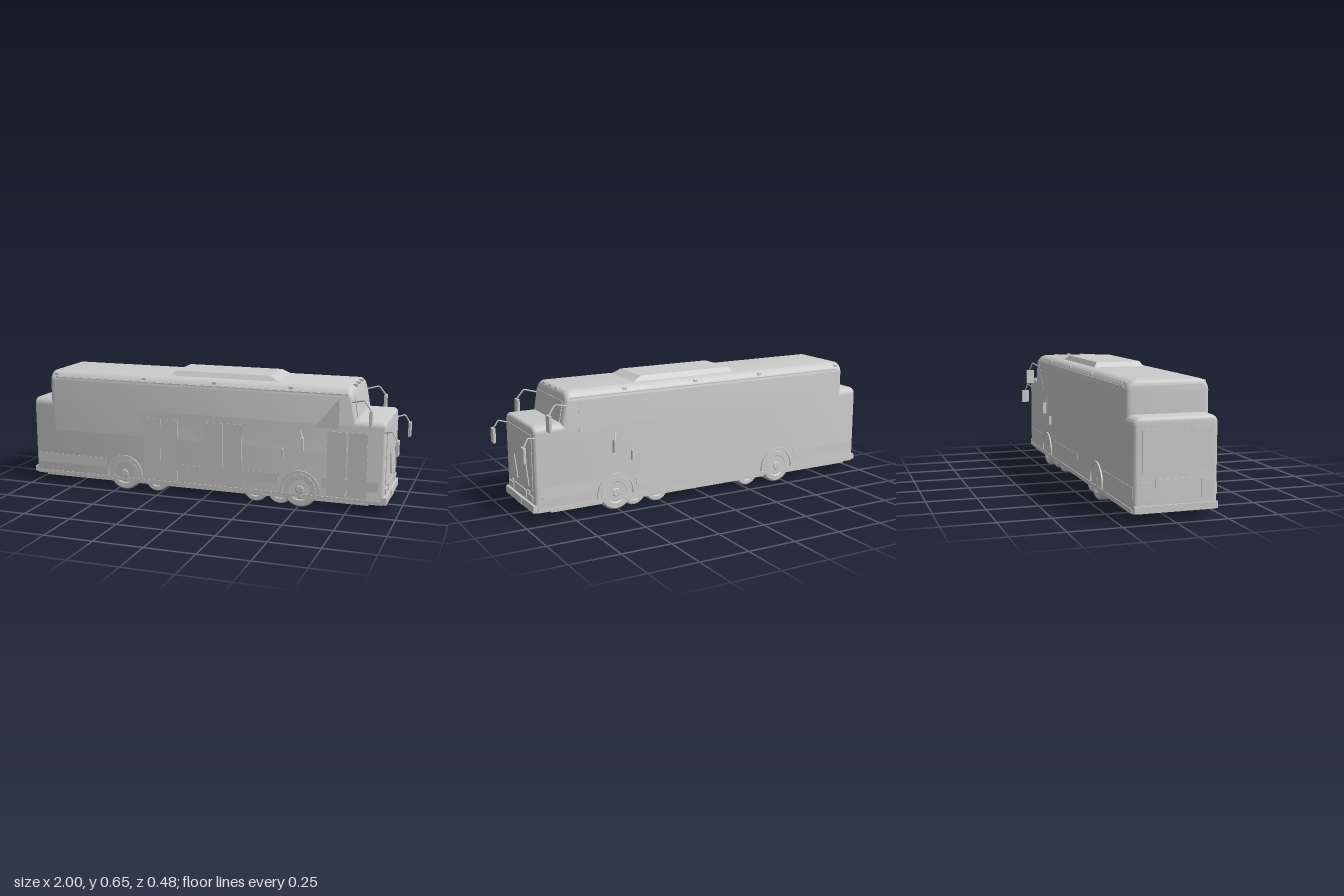
import * as THREE from 'three';
import { toCreasedNormals } from 'three/addons/utils/BufferGeometryUtils.js';

const mat = new THREE.MeshStandardMaterial({ color: 0xcccccc, side: THREE.DoubleSide });

export function createModel() {
  const root = new THREE.Group();

  const add = (name, geo) => {
    const m = new THREE.Mesh(geo, mat);
    m.name = name;
    root.add(m);
    return m;
  };
  // box given by its limits on each axis
  const box = (name, x0, x1, y0, y1, z0, z1) => {
    const m = add(name, new THREE.BoxGeometry(x1 - x0, y1 - y0, Math.abs(z1 - z0)));
    m.position.set((x0 + x1) / 2, (y0 + y1) / 2, (z0 + z1) / 2);
    return m;
  };
  const bar = (name, points, r) => {
    const path = new THREE.CurvePath();
    for (let i = 1; i < points.length; i++) {
      path.add(new THREE.LineCurve3(new THREE.Vector3(...points[i - 1]), new THREE.Vector3(...points[i])));
    }
    return add(name, new THREE.TubeGeometry(path, 16, r, 8));
  };

  // arched section swept along x: rounded top and ends, square bottom edge
  const hull = (name, x0, x1, y0, y1, halfWidth, r, bevel, rake = 0) => {
    const w = halfWidth - bevel, t = y1 - bevel, c = r - bevel;
    const s = new THREE.Shape();
    s.moveTo(-w, y0);
    s.lineTo(w, y0);
    s.lineTo(w, t - c);
    s.absarc(w - c, t - c, c, 0, Math.PI / 2);
    s.lineTo(-w + c, t);
    s.absarc(-w + c, t - c, c, Math.PI / 2, Math.PI);
    s.lineTo(-w, y0);
    let g = new THREE.ExtrudeGeometry(s, {
      depth: x1 - x0 - 2 * bevel, bevelSize: bevel, bevelThickness: bevel, bevelSegments: 5, curveSegments: 8,
    });
    g.rotateY(Math.PI / 2);
    g.translate(x0 + bevel, 0, 0);
    const p = g.attributes.position;
    for (let i = 0; i < p.count; i++) {
      p.setY(i, Math.max(p.getY(i), y0));
      if (p.getX(i) > 0) p.setX(i, p.getX(i) + rake * (y1 - p.getY(i)));
    }
    return add(name, toCreasedNormals(g, 0.6));
  };

  // Body
  hull('lowerBody', -0.99, 0.932, 0.05, 0.473, 0.199, 0.035, 0.02);
  hull('upperBody', -0.89, 0.757, 0.3, 0.625, 0.199, 0.055, 0.025, 0.18);
  box('underFloor', -0.93, 0.855, 0.04, 0.052, -0.19, 0.19);

  // Roof pod with sloping sides
  const pod = new THREE.BoxGeometry(0.595, 0.032, 0.274);
  const pp = pod.attributes.position;
  for (let i = 0; i < pp.count; i++) {
    if (pp.getY(i) > 0) {
      pp.setX(i, pp.getX(i) - Math.sign(pp.getX(i)) * (pp.getX(i) > 0 ? 0.06 : 0.02));
      pp.setZ(i, pp.getZ(i) * 0.84);
    }
  }
  pod.computeVertexNormals();
  add('roofPod', pod).position.set(0.088, 0.634, 0);
  for (const z of [-0.08, 0, 0.08]) box('roofLamp', 0.742, 0.765, 0.615, 0.628, z - 0.009, z + 0.009);

  // Front face
  const screen = box('upperWindscreen', -0.004, 0.004, -0.052, 0.052, -0.165, 0.165);
  screen.position.set(0.775, 0.525, 0);
  screen.rotation.z = Math.atan(0.18);
  box('lowerWindscreen', 0.925, 0.935, 0.155, 0.43, -0.17, 0.17);
  box('grille', 0.925, 0.938, 0.1, 0.138, -0.08, 0.08);
  box('frontBumper', 0.92, 0.945, 0.052, 0.089, -0.197, 0.197);
  box('numberPlate', 0.94, 0.948, 0.053, 0.09, -0.04, 0.04);
  for (const s of [-1, 1]) {
    box('headlight', 0.925, 0.938, 0.1, 0.128, s * 0.1, s * 0.168);
    box('indicator', 0.925, 0.938, 0.134, 0.144, s * 0.1, s * 0.128);
  }
  for (const z of [0.064, -0.094]) bar('wiper', [[0.939, 0.285, z], [0.939, 0.172, z - 0.04]], 0.003);

  // Rear face
  box('rearWindow', -0.993, -0.985, 0.23, 0.42, -0.16, 0.16);
  box('enginePanel', -0.994, -0.985, 0.1, 0.2, -0.1, 0.1);
  box('rearBumper', -1, -0.97, 0.055, 0.085, -0.197, 0.197);
  for (const s of [-1, 1]) box('tailLamp', -0.994, -0.985, 0.11, 0.19, s * 0.12, s * 0.165);

  // Wheel with a stepped hub, axis along z
  const wheel = (name, x, r, side, zIn, zOut) => {
    const w = zOut - zIn;
    const profile = [[0, 0], [r * 0.9, 0], [r, 0.012], [r, w - 0.014], [r * 0.9, w - 0.003],
      [r * 0.62, w - 0.003], [r * 0.55, w - 0.008], [r * 0.25, w - 0.004], [r * 0.2, w], [0, w]];
    const g = new THREE.LatheGeometry(profile.map(([a, b]) => new THREE.Vector2(a, b)), 28);
    g.rotateX(side * Math.PI / 2);
    add(name, toCreasedNormals(g, 0.6)).position.set(x, r + 0.001, side * zIn);
  };

  // Arch: half ring over a wheel
  const archShape = new THREE.Shape();
  archShape.absarc(0, 0, 0.103, -0.15, Math.PI + 0.15);
  archShape.absarc(0, 0, 0.09, Math.PI + 0.15, -0.15, true);
  const archGeo = toCreasedNormals(new THREE.ExtrudeGeometry(archShape, { depth: 0.016, bevelEnabled: false, curveSegments: 24 }), 0.6);

  for (const s of [-1, 1]) {
    for (const x of [-0.456, 0.51]) {
      wheel('wheel', x, 0.09, s, 0.105, 0.203);
      add('wheelArch', archGeo).position.set(x, 0.089, s * 0.198 - 0.008);
    }
    for (const x of [-0.28, 0.27, 0.4]) wheel('innerWheel', x, 0.068, s, 0.115, 0.18);

    // Side trim
    box('rearBeltPanel', -0.975, -0.56, 0.115, 0.167, s * 0.19, s * 0.201);
    box('middleBeltPanel', -0.13, 0.4, 0.115, 0.167, s * 0.19, s * 0.2005);
    box('frontBeltPanel', 0.62, 0.9, 0.115, 0.167, s * 0.19, s * 0.2005);
    box('skirtRail', -0.975, 0.92, 0.055, 0.07, s * 0.19, s * 0.202);
    box('dripRail', -0.85, 0.74, 0.588, 0.594, s * 0.185, s * 0.199);
    for (const x of [-0.85, -0.34, 0.05, 0.45]) box('sideMarker', x - 0.01, x + 0.01, 0.602, 0.614, s * 0.17, s * 0.192);

    // Front mirrors on bent arms
    bar('upperMirrorArm', [[0.76, 0.556, s * 0.19], [0.825, 0.572, s * 0.21], [0.86, 0.525, s * 0.22]], 0.004);
    box('upperMirror', 0.853, 0.866, 0.445, 0.526, s * 0.195, s * 0.239);
    bar('lowerMirrorArm', [[0.915, 0.415, s * 0.19], [0.965, 0.428, s * 0.212], [0.99, 0.385, s * 0.22]], 0.004);
    box('lowerMirror', 0.985, 0.998, 0.315, 0.389, s * 0.197, s * 0.24);

    // Small mirrors on the side
    bar('sideMirrorArm', [[0.505, 0.4, s * 0.195], [0.522, 0.36, s * 0.214]], 0.004);
    box('sideMirror', 0.517, 0.528, 0.3, 0.365, s * 0.203, s * 0.224);
    box('sideLamp', 0.413, 0.426, 0.25, 0.298, s * 0.198, s * 0.215);

    // Quarter window behind the windscreen
    const q = new THREE.Shape([[0.58, 0.42], [0.7, 0.42], [0.7, 0.575]].map(([x, y]) => new THREE.Vector2(x, y)));
    add('quarterWindow', new THREE.ExtrudeGeometry(q, { depth: 0.004, bevelEnabled: false })).position.z = s * 0.198 - 0.002;
  }

  // Door leaves on the +z side
  const doors = [[-0.34, -0.245], [-0.24, -0.15], [0, 0.1], [0.105, 0.2], [0.645, 0.74], [0.75, 0.845]];
  for (const [a, b] of doors) box('doorLeaf', a, b, 0.075, 0.405, 0.19, 0.2015);

  return root;
}
